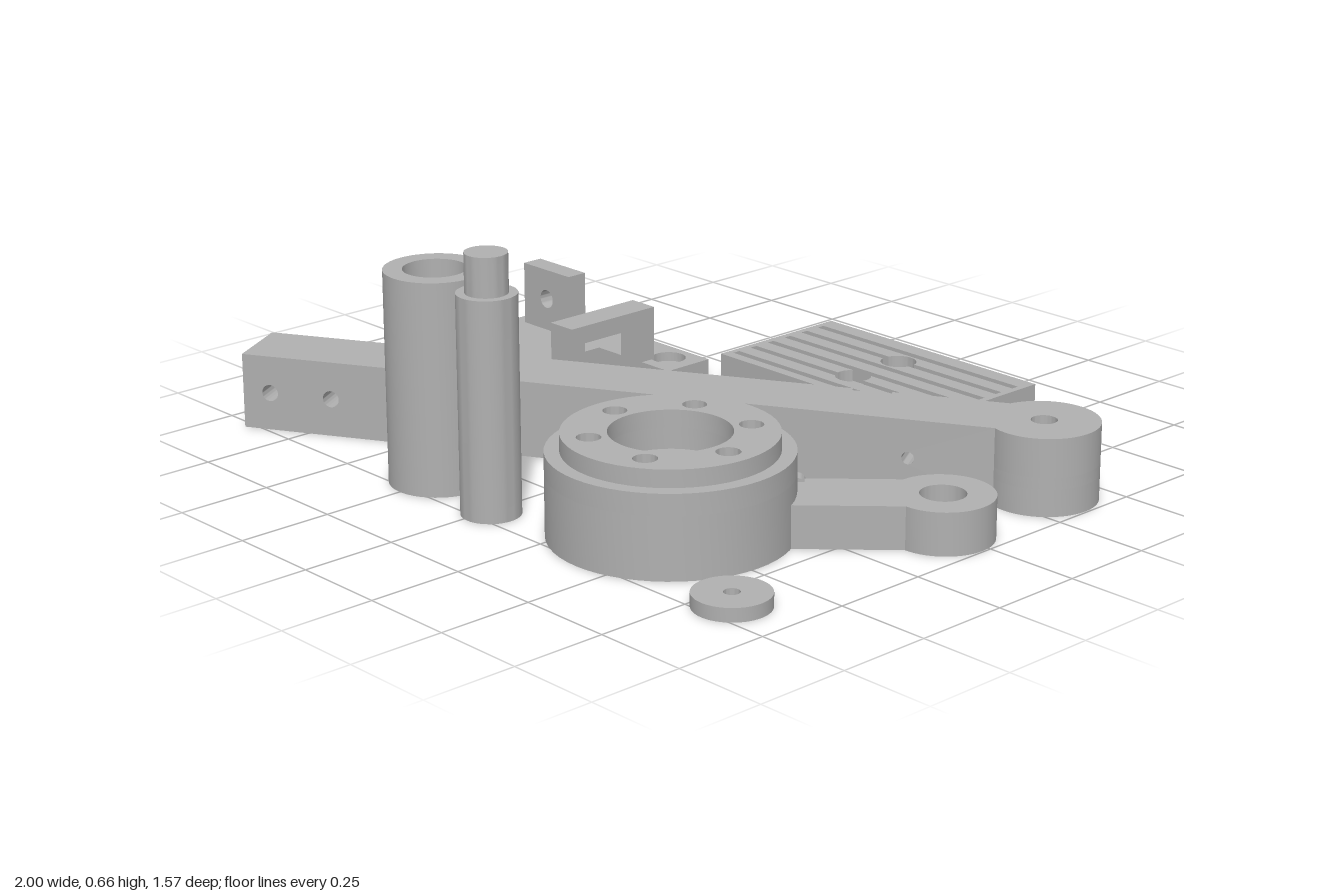
import * as THREE from 'three';
import { toCreasedNormals } from 'three/addons/utils/BufferGeometryUtils.js';

const grey = new THREE.MeshStandardMaterial({ color: 0xb0b0b0 });
grey.name = 'plain grey';

const V = (x, y) => new THREE.Vector2(x, y);
const poly = (pts) => new THREE.Shape(pts.map(([x, y]) => V(x, y)));
const rect = (x0, y0, x1, y1) => poly([[x0, y0], [x1, y0], [x1, y1], [x0, y1]]);
const disc = (x, y, r) => new THREE.Shape().absarc(x, y, r, 0, Math.PI * 2, false);
const hex = (x, y, r) => poly(Array.from({ length: 6 }, (_, i) =>
  [x + r * Math.cos(i * Math.PI / 3), y + r * Math.sin(i * Math.PI / 3)]));
const cut = (shape, ...holes) => { shape.holes.push(...holes); return shape; };

function extrude(shape, depth) {
  return new THREE.ExtrudeGeometry(shape, { depth, bevelEnabled: false, curveSegments: 28 });
}

function add(parent, name, geometry) {
  const mesh = new THREE.Mesh(toCreasedNormals(geometry, 0.6), grey);
  mesh.name = name;
  parent.add(mesh);
  return mesh;
}

// Plan outline (x, z) raised from y0 to y1
function slab(parent, name, shape, y0, y1) {
  return add(parent, name, extrude(shape, y1 - y0).rotateX(Math.PI / 2).translate(0, y1, 0));
}

// Side outline (x, y) thickened from z0 to z1
function wall(parent, name, shape, z0, z1) {
  return add(parent, name, extrude(shape, z1 - z0).translate(0, 0, z0));
}

function group(parent, name, x = 0, z = 0, turn = 0) {
  const g = new THREE.Group();
  g.name = name;
  g.position.set(x, 0, z);
  g.rotation.y = turn;
  parent.add(g);
  return g;
}

// Long bar with a round eye, cross holes, nut pockets and a shallow round recess
function buildBar(root) {
  const bar = group(root, 'longBar', -0.952, 0.693, Math.PI / 6);
  const L = 2.087, E = L - 0.1, H = 0.2, sc = 1.635, r = 0.112, w = 0.095;
  const c = Math.sqrt(r * r - 0.01), a = Math.atan2(0.1, c);
  const bolts = [0.075, 0.245];
  const pin = () => disc(1.77, 0.1, 0.016);
  const nuts = () => bolts.map((s) => hex(s, 0.1, 0.036));

  const near = new THREE.Shape().moveTo(0, 0).lineTo(sc - c, 0)
    .absarc(sc, 0.1, r, Math.PI + a, Math.PI - a, true).lineTo(0, H);
  const far = new THREE.Shape().moveTo(sc + c, 0).lineTo(E, 0).lineTo(E, H).lineTo(sc + c, H)
    .absarc(sc, 0.1, r, a, -a, true);
  wall(bar, 'barBackSkin', cut(near, ...nuts()), -w, -0.08);
  wall(bar, 'barBackSkinByEye', cut(far, pin()), -w, -0.08);
  wall(bar, 'barNutLayer', cut(rect(0, 0, E, H), pin(), ...nuts()), -0.08, -0.05);
  wall(bar, 'barBody', cut(rect(0, 0, E, H), pin(),
    ...bolts.map((s) => disc(s, 0.1, 0.022))), -0.05, w);

  slab(bar, 'eyeHexSocket', cut(disc(L, 0, 0.14), hex(L, 0, 0.055)), 0, 0.07);
  slab(bar, 'eyeWeb', disc(L, 0, 0.14), 0.07, 0.1);
  slab(bar, 'eyeTop', cut(disc(L, 0, 0.14), disc(L, 0, 0.033)), 0.1, H);
}

// Round drum with six blind holes, a centre bore and a side arm
function buildDrum(root) {
  const drum = group(root, 'drumAndArm', 0.412, 0.48, Math.PI / 4);
  const holes = () => [disc(0, 0, 0.15), ...Array.from({ length: 6 }, (_, i) => {
    const t = i * Math.PI / 3 + Math.PI / 4;
    return disc(0.197 * Math.cos(t), 0.197 * Math.sin(t), 0.03);
  })];
  slab(drum, 'drumBase', disc(0, 0, 0.3), 0, 0.16);
  slab(drum, 'drumWall', cut(disc(0, 0, 0.3), ...holes()), 0.16, 0.215);
  slab(drum, 'drumCollar', cut(disc(0, 0, 0.263), ...holes()), 0.215, 0.26);

  const L = 0.645;
  slab(drum, 'arm', rect(0.28, -0.09, L - 0.085, 0.09), 0, 0.11);
  slab(drum, 'armEye', cut(disc(L, 0, 0.128), disc(L, 0, 0.057)), 0, 0.11);
  add(drum, 'armStud', new THREE.CylinderGeometry(0.02, 0.02, 0.04, 20)
    .rotateX(Math.PI / 2).translate(0.3, 0.1, -0.085));
}

// Grooved plate: grooves run into two counterbored screw holes
function buildGroovedPlate(root) {
  const plate = group(root, 'groovedPlate', 0.08, 0);
  const outline = () => rect(-0.375, -0.785, 0.375, -0.36);
  const bores = [-0.66, -0.485], R = 0.048, half = 0.357, h = 0.011;
  const grooves = [0, 1, 2, 3, 4, 5].map((i) => -0.725 + i * 0.065);
  const used = new Set();

  const pockets = bores.map((zc) => {
    const met = grooves.filter((g) => Math.abs(g - zc) < R + h);
    met.forEach((g) => used.add(g));
    const zs = [];
    for (let i = 0; i <= 24; i++) zs.push(zc - R * Math.cos(i * Math.PI / 24));
    met.forEach((g) => [-1, 1].forEach((s) => zs.push(g + s * h - 1e-4, g + s * h + 1e-4)));
    const lo = Math.min(zc - R, ...met.map((g) => g - h));
    const hi = Math.max(zc + R, ...met.map((g) => g + h));
    const right = zs.filter((z) => z >= lo && z <= hi).sort((p, q) => p - q).map((z) => {
      const inGroove = met.some((g) => Math.abs(z - g) <= h);
      const arc = Math.sqrt(Math.max(0, R * R - (z - zc) ** 2));
      return [inGroove ? half : Math.max(arc, 0.002), z];
    });
    return poly([...right, ...right.slice().reverse().map(([x, z]) => [-x, z])]);
  });
  const plain = grooves.filter((g) => !used.has(g)).map((g) => rect(-half, g - h, half, g + h));

  slab(plate, 'plateBase', cut(outline(), ...bores.map((z) => disc(0, z, 0.025))), 0, 0.05);
  slab(plate, 'plateRibs', cut(outline(), ...pockets, ...plain), 0.05, 0.09);
}

// Notched bracket with two drilled lugs and an arch over the notch
function buildBracket(root) {
  const bracket = group(root, 'bracket');
  const outline = () => poly([[-1, -0.375], [-0.36, -0.375], [-0.36, -0.225], [-0.64, -0.225],
    [-0.64, -0.02], [-0.36, -0.02], [-0.36, 0.13], [-1, 0.13]]);
  const screws = (r) => [-0.915, -0.445].flatMap((x) => [-0.305, 0.06].map((z) => disc(x, z, r)));
  slab(bracket, 'bracketPlate', cut(outline(), ...screws(0.024)), 0, 0.03);
  slab(bracket, 'bracketPlateTop', cut(outline(), ...screws(0.047)), 0.03, 0.055);

  for (const z of [-0.285, -0.018]) {
    wall(bracket, 'lug', cut(rect(-0.955, 0.03, -0.765, 0.23), disc(-0.86, 0.145, 0.026)), z, z + 0.06);
  }
  const arch = poly([[-0.27, 0.05], [-0.225, 0.05], [-0.225, 0.155], [-0.02, 0.155],
    [-0.02, 0.05], [0.025, 0.05], [0.025, 0.203], [-0.27, 0.203]].map(([z, y]) => [-z, y]));
  add(bracket, 'arch', extrude(arch, 0.085).rotateY(Math.PI / 2).translate(-0.55, 0, 0));
}

// Loose turned parts: tube, stepped pin and washer
function buildTurnedParts(root) {
  slab(root, 'tube', cut(disc(-0.25, 0.65, 0.128), disc(-0.25, 0.65, 0.08)), 0, 0.55);

  const pin = group(root, 'steppedPin', 0.015, 0.705);
  const profile = [[0, 0.12], [0.02, 0.12], [0.02, 0], [0.075, 0], [0.075, 0.56],
    [0.053, 0.56], [0.053, 0.66], [0, 0.66]].map(([x, y]) => V(x, y));
  add(pin, 'pin', new THREE.LatheGeometry(profile, 48).toNonIndexed());

  slab(root, 'washer', cut(disc(0.83, 0.68, 0.095), disc(0.83, 0.68, 0.02)), 0, 0.035);
}

export function createModel() {
  const root = new THREE.Group();
  root.name = 'partsLayout';
  buildBar(root);
  buildDrum(root);
  buildGroovedPlate(root);
  buildBracket(root);
  buildTurnedParts(root);
  return root;
}
